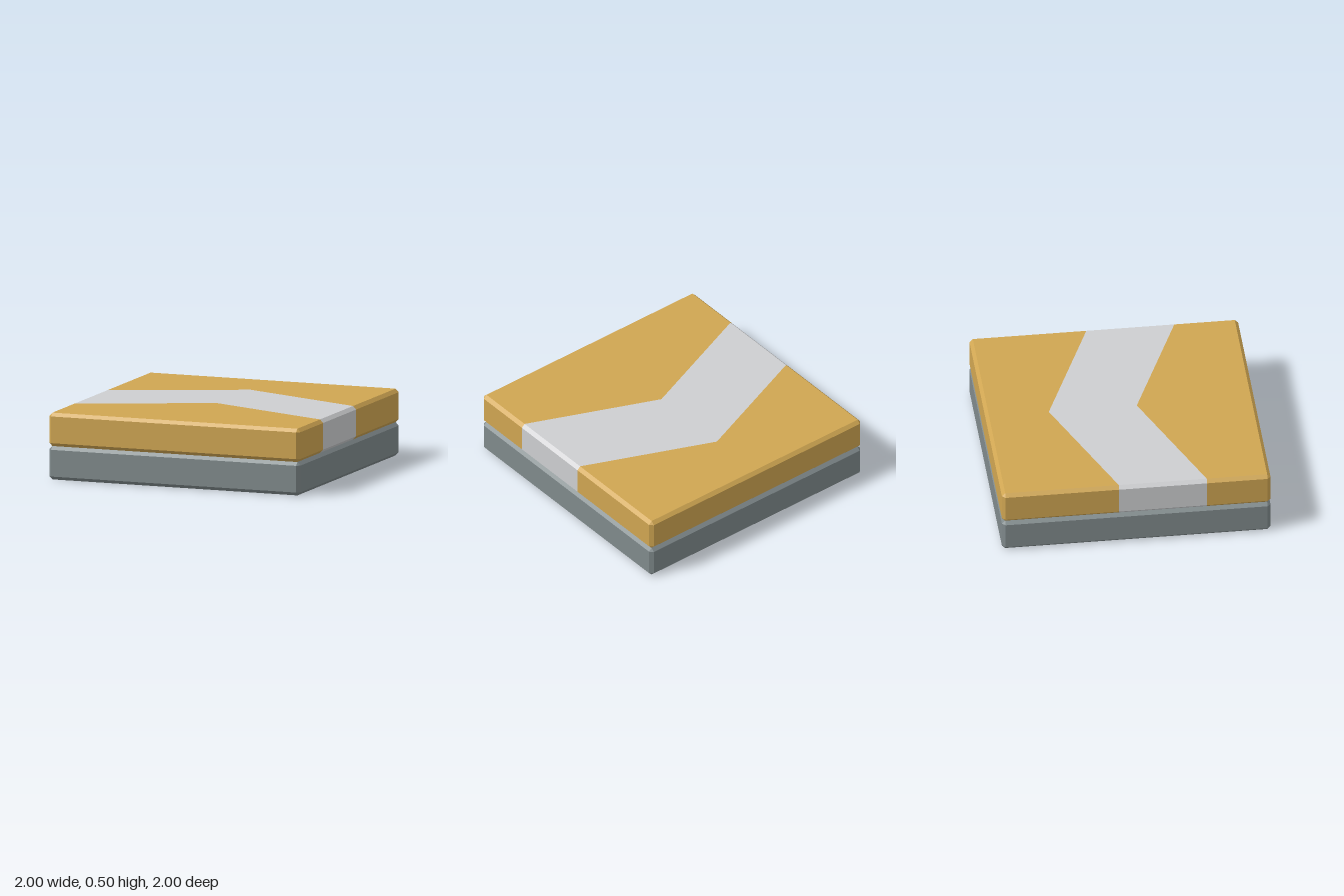
import * as THREE from 'three';

const BEVEL = 0.025;
const IN = 1 - BEVEL;

// Chamfered slab lofted along z; each band between rings carries a material index.
function slabGeometry(y0, y1, innerRings, bandMaterials) {
  const lo = y0 + BEVEL, hi = y1 - BEVEL;
  const profile = [
    [-IN, y1], [0, y1], [IN, y1], [1, hi], [1, lo],
    [IN, y0], [0, y0], [-IN, y0], [-1, lo], [-1, hi],
  ];
  const n = profile.length;
  const clamp = THREE.MathUtils.clamp;
  const endRing = z => profile.map(([x, y]) =>
    new THREE.Vector3(clamp(x, -IN, IN), clamp(y, lo, hi), z));
  const ring = zAt => profile.map(([x, y]) => new THREE.Vector3(x, y, zAt(x)));
  const rings = [
    endRing(-1), ring(() => -IN), ...innerRings.map(ring), ring(() => IN), endRing(1),
  ];

  const positions = [];
  const geometry = new THREE.BufferGeometry();
  const addTriangle = (a, b, c) => {
    if (new THREE.Triangle(a, b, c).getArea() < 1e-7) return;
    for (const p of [a, b, c]) positions.push(p.x, p.y, p.z);
  };
  const addGroup = (material, build) => {
    const start = positions.length / 3;
    build();
    geometry.addGroup(start, positions.length / 3 - start, material);
  };

  // Sides and chamfers
  for (let k = 0; k < rings.length - 1; k++) {
    addGroup(bandMaterials[k] ?? 0, () => {
      for (let i = 0; i < n; i++) {
        const j = (i + 1) % n;
        const a = rings[k][i], b = rings[k][j];
        const c = rings[k + 1][i], d = rings[k + 1][j];
        addTriangle(a, c, b);
        addTriangle(b, c, d);
      }
    });
  }
  // Back and front faces
  addGroup(0, () => {
    const back = rings[0], front = rings[rings.length - 1];
    for (let i = 1; i < n - 1; i++) {
      addTriangle(back[0], back[i], back[i + 1]);
      addTriangle(front[0], front[i + 1], front[i]);
    }
  });

  geometry.setAttribute('position', new THREE.Float32BufferAttribute(positions, 3));
  geometry.computeVertexNormals();
  return geometry;
}

export function createModel() {
  const grey = new THREE.MeshStandardMaterial({ name: 'slate grey', color: 0x808a8c });
  const gold = new THREE.MeshStandardMaterial({ name: 'gold', color: 0xd0a652 });
  const silver = new THREE.MeshStandardMaterial({ name: 'light silver', color: 0xcecfd1 });

  const model = new THREE.Group();
  model.name = 'arrowTile';

  // Plain lower slab
  const base = new THREE.Mesh(slabGeometry(0, 0.25, [], []), [grey]);
  base.name = 'baseSlab';

  // Upper slab with a chevron band wrapping over its sides
  const chevron = offset => x => offset + 0.4 * Math.min(Math.abs(x) / IN, 1);
  const top = new THREE.Mesh(
    slabGeometry(0.25, 0.5, [chevron(-0.53), chevron(0.125)], [0, 0, 1, 0, 0]),
    [gold, silver],
  );
  top.name = 'chevronSlab';

  model.add(base, top);
  return model;
}
